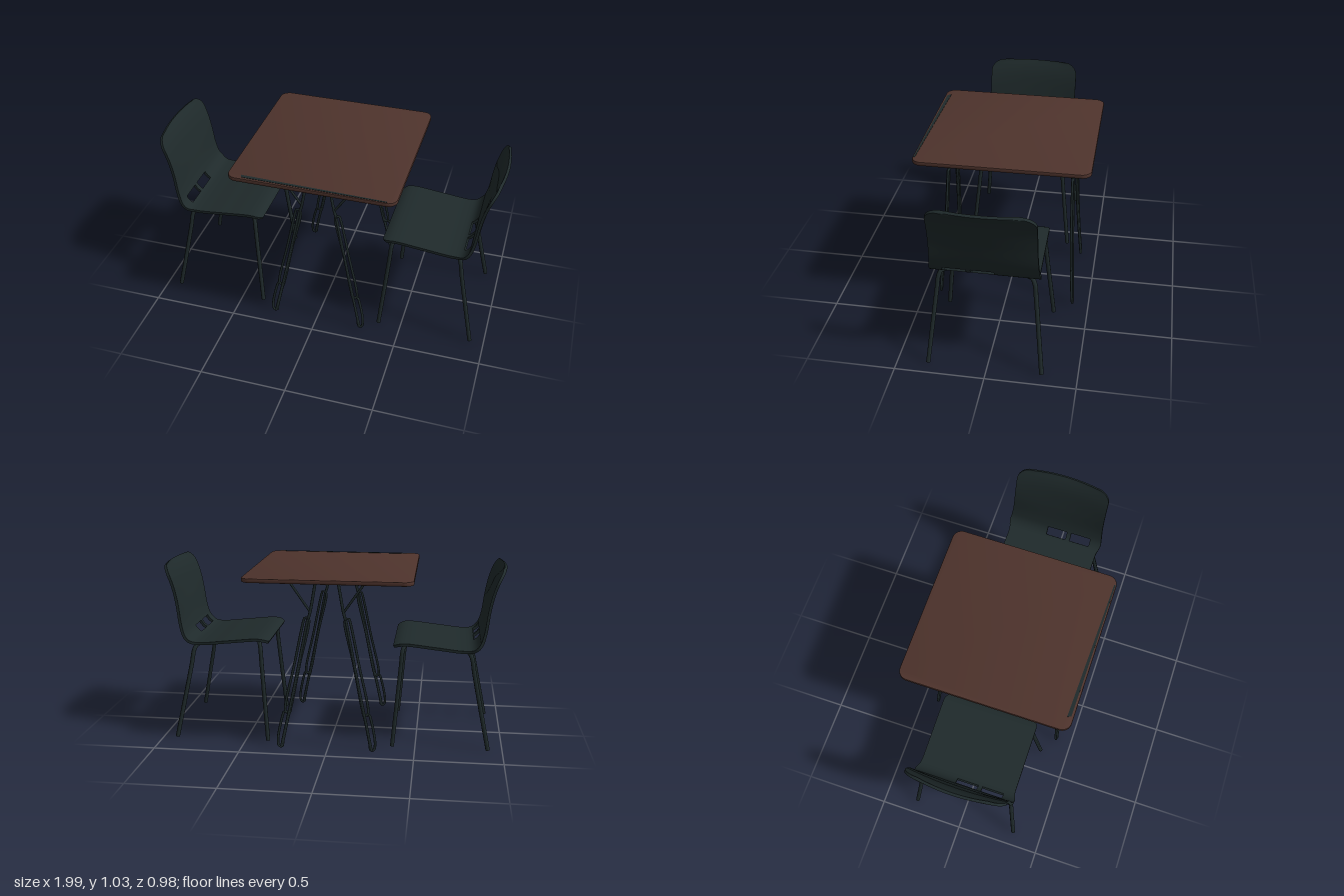
import * as THREE from 'three';
import { toCreasedNormals } from 'three/addons/utils/BufferGeometryUtils.js';

const wood = new THREE.MeshStandardMaterial({ color: 0x4e332c });
wood.name = 'brown wood';
const dark = new THREE.MeshStandardMaterial({ color: 0x1f2a2b });
dark.name = 'dark green grey';

const CENTRE_Z = 0.013; // chairs sit slightly forward of the middle
const v = (x, y, z) => new THREE.Vector3(x, y, z);

function add(group, name, geometry, material) {
  const mesh = new THREE.Mesh(geometry, material);
  mesh.name = name;
  group.add(mesh);
  return mesh;
}

// Round bar through points, with closed ends
function bar(group, name, points, radius, closed = false) {
  const curve = new THREE.CatmullRomCurve3(points, closed, 'centripetal');
  add(group, name, new THREE.TubeGeometry(curve, points.length * 6, radius, 8, closed), dark);
  if (closed) return;
  for (const t of [0, 1]) {
    const cap = new THREE.CircleGeometry(radius, 8);
    const dir = curve.getTangentAt(t).multiplyScalar(t ? 1 : -1);
    cap.applyQuaternion(new THREE.Quaternion().setFromUnitVectors(v(0, 0, 1), dir));
    const p = curve.getPointAt(t);
    cap.translate(p.x, p.y, p.z);
    add(group, name + 'End', cap, dark);
  }
}

// Bent shell: side profile from the top of the back to the front of the seat
const profile = new THREE.CatmullRomCurve3([
  [0.99, 1.03], [0.966, 0.99], [0.945, 0.94], [0.91, 0.81], [0.878, 0.67], [0.855, 0.61],
  [0.82, 0.579], [0.77, 0.572], [0.6, 0.588], [0.43, 0.604], [0.39, 0.599], [0.364, 0.586],
].map(([x, y]) => v(x, y, 0)), false, 'centripetal');

function halfWidth(p) {
  let w = 0.283 + 0.014 * Math.exp(-(((p.x - 0.845) / 0.035) ** 2));
  if (p.y > 0.96) w -= 0.09 * (1 - Math.sqrt(Math.max(0, 1 - ((p.y - 0.96) / 0.07) ** 2)));
  if (p.x < 0.4) w -= 0.03 * ((0.4 - p.x) / 0.036) ** 2;
  return w;
}

function shellGeometry(side) {
  const rows = 72, half = 0.008;
  const cols = [-1, -0.85, -0.65, -0.4, -0.17, 0.04, 0.25, 0.34, 0.55, 0.76, 0.88, 1];
  const grid = [];
  for (let i = 0; i <= rows; i++) {
    const u = (i / rows) ** 1.25;
    const p = profile.getPointAt(u), t = profile.getTangentAt(u), w = halfWidth(p);
    const wrap = 0.018 * THREE.MathUtils.smoothstep(p.y, 0.62, 0.9);
    grid.push(cols.map((c) => {
      const at = (d) => v(side * (p.x + t.y * d - wrap * c * c), p.y - t.x * d, CENTRE_Z + w * c);
      return { top: at(half), bottom: at(-half), y: p.y, x: p.x };
    }));
  }
  // Two slots where the back meets the seat
  const solid = (i, j) => {
    if (i < 0 || j < 0 || i >= rows || j >= cols.length - 1) return false;
    const a = grid[i][j], mid = (cols[j] + cols[j + 1]) / 2;
    const slotRow = a.x > 0.8 && a.y > 0.588 && a.y < 0.627;
    return !(slotRow && ((mid > -0.17 && mid < 0.25) || (mid > 0.34 && mid < 0.76)));
  };
  const out = [];
  const quad = (a, b, c, d) => {
    const q = side > 0 ? [a, b, c, a, c, d] : [a, c, b, a, d, c];
    q.forEach((p) => out.push(p.x, p.y, p.z));
  };
  for (let i = 0; i < rows; i++) for (let j = 0; j < cols.length - 1; j++) {
    if (!solid(i, j)) continue;
    const c = [grid[i][j], grid[i + 1][j], grid[i + 1][j + 1], grid[i][j + 1]];
    quad(c[0].top, c[1].top, c[2].top, c[3].top);
    quad(c[3].bottom, c[2].bottom, c[1].bottom, c[0].bottom);
    [[i, j - 1], [i + 1, j], [i, j + 1], [i - 1, j]].forEach(([ni, nj], k) => {
      if (solid(ni, nj)) return;
      const a = c[k], b = c[(k + 1) % 4];
      quad(a.top, a.bottom, b.bottom, b.top);
    });
  }
  const geometry = new THREE.BufferGeometry();
  geometry.setAttribute('position', new THREE.Float32BufferAttribute(out, 3));
  return toCreasedNormals(geometry, 0.7);
}

function makeChair(side) {
  const chair = new THREE.Group();
  chair.name = side > 0 ? 'leftChair' : 'rightChair';
  add(chair, 'seatShell', shellGeometry(side), dark);
  for (const s of [-1, 1]) {
    const at = (x, y, z) => v(side * x, y, CENTRE_Z + s * z);
    bar(chair, 'rearLeg', [at(0.785, 0.558, 0.215), at(0.8, 0.553, 0.245), at(0.812, 0.525, 0.259),
      at(0.825, 0.45, 0.268), at(0.918, 0.003, 0.316)], 0.0125);
    bar(chair, 'frontLeg', [at(0.43, 0.585, 0.215), at(0.42, 0.58, 0.245), at(0.413, 0.55, 0.259),
      at(0.407, 0.47, 0.267), at(0.367, 0.003, 0.316)], 0.0125);
  }
  return chair;
}

function makeTable() {
  const table = new THREE.Group();
  table.name = 'table';

  // Rounded square top
  const w = 0.47, h = 0.485, r = 0.05;
  const shape = new THREE.Shape();
  shape.moveTo(-w + r, -h);
  shape.lineTo(w - r, -h).absarc(w - r, -h + r, r, -Math.PI / 2, 0, false);
  shape.lineTo(w, h - r).absarc(w - r, h - r, r, 0, Math.PI / 2, false);
  shape.lineTo(-w + r, h).absarc(-w + r, h - r, r, Math.PI / 2, Math.PI, false);
  shape.lineTo(-w, -h + r).absarc(-w + r, -h + r, r, Math.PI, Math.PI * 1.5, false);
  const top = new THREE.ExtrudeGeometry(shape, {
    depth: 0.014, bevelThickness: 0.005, bevelSize: 0.005, bevelSegments: 2, curveSegments: 8,
  });
  top.rotateX(-Math.PI / 2).translate(-0.004, 0.99, 0);
  add(table, 'tableTop', toCreasedNormals(top, 0.6), wood);

  // Thin tapering strip along the front edge
  const strip = new THREE.Shape([
    new THREE.Vector2(-0.4, -0.455), new THREE.Vector2(-0.39, -0.476),
    new THREE.Vector2(0.42, -0.484), new THREE.Vector2(0.42, -0.476),
  ]);
  const stripGeometry = new THREE.ExtrudeGeometry(strip, { depth: 0.002, bevelEnabled: false });
  add(table, 'edgeStrip', stripGeometry.rotateX(-Math.PI / 2).translate(0, 1.009, 0), dark);

  // Hairpin legs, each with a post, a brace, a long loop and a foot loop
  for (const sx of [-1, 1]) for (const sz of [-1, 1]) {
    const leg = new THREE.Group();
    leg.name = 'tableLeg';
    const at = (x, y, dz = 0) =>
      v(0.006 + sx * x, y, sz * (0.362 + 0.043 * ((1 - y) ** 2) + dz));
    bar(leg, 'post', [at(0.061, 0.99), at(0.095, 0.8), at(0.105, 0.765)], 0.0085);
    bar(leg, 'brace', [at(0.222, 0.99), at(0.094, 0.805)], 0.007);
    bar(leg, 'longLoop', [at(0.1, 0.755), at(0.106, 0.771), at(0.125, 0.771), at(0.131, 0.755),
      at(0.185, 0.5), at(0.24, 0.24), at(0.235, 0.215), at(0.216, 0.215), at(0.207, 0.24),
      at(0.155, 0.5)], 0.0075, true);
    bar(leg, 'footLoop', [at(0.205, 0.24), at(0.222, 0.215), at(0.244, 0.22), at(0.253, 0.2),
      at(0.282, 0.05), at(0.275, 0.012), at(0.258, 0.01), at(0.25, 0.05), at(0.218, 0.2)], 0.0075, true);
    bar(leg, 'innerRod', [at(0.108, 0.765, 0.006), at(0.19, 0.35, 0.006), at(0.262, 0.012, 0.002)], 0.0075);
    table.add(leg);
  }
  return table;
}

export function createModel() {
  const model = new THREE.Group();
  model.name = 'diningSet';
  model.add(makeTable(), makeChair(1), makeChair(-1));
  return model;
}
